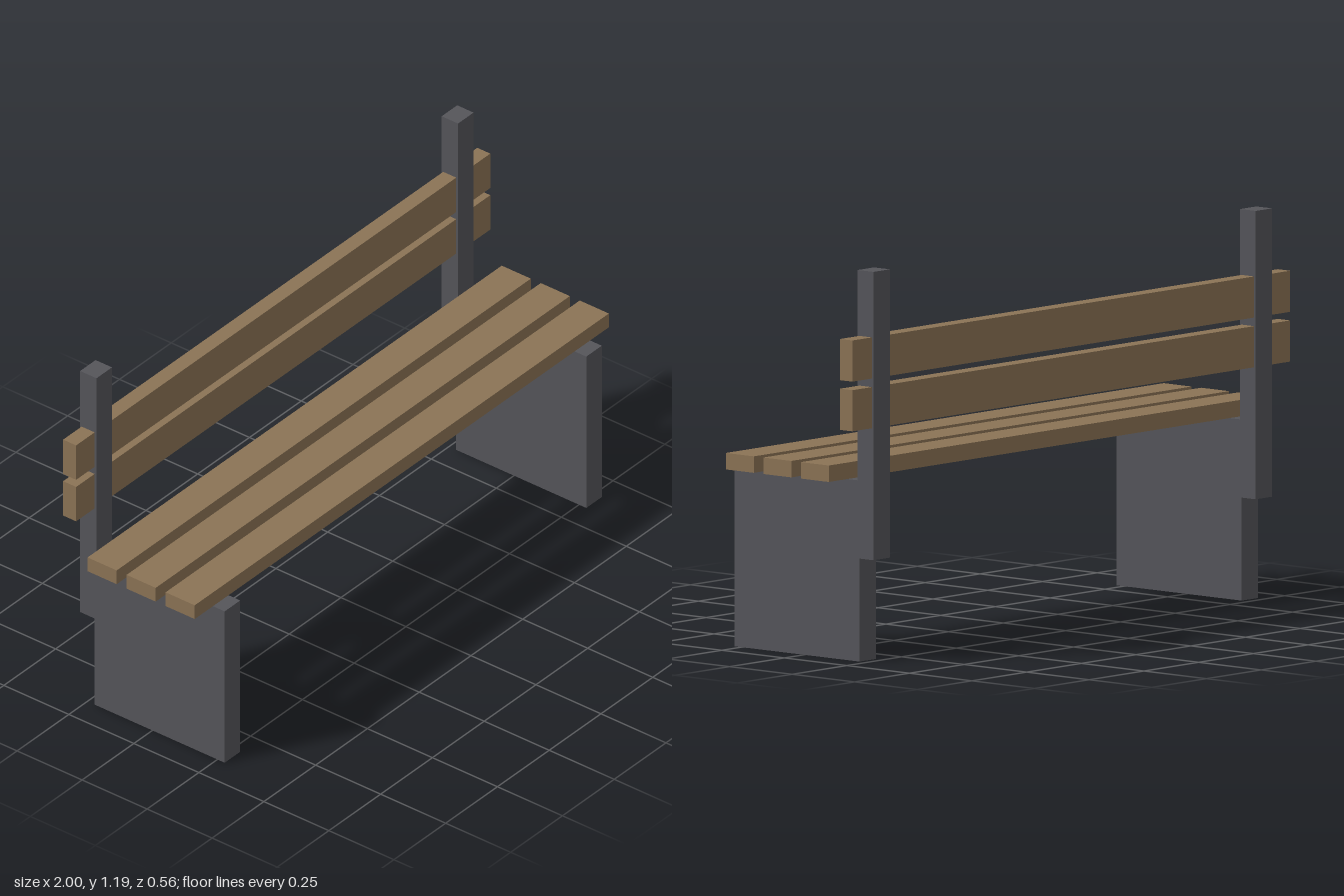
import * as THREE from 'three';

export function createModel() {
  const bench = new THREE.Group();
  bench.name = 'bench';
  const wood = new THREE.MeshStandardMaterial({ color: 0x8b7355 });
  const metal = new THREE.MeshStandardMaterial({ color: 0x55555a });

  // Box given by its size and centre
  function addBox(name, material, [w, h, d], [x, y, z]) {
    const mesh = new THREE.Mesh(new THREE.BoxGeometry(w, h, d), material);
    mesh.name = name;
    mesh.position.set(x, y, z);
    bench.add(mesh);
  }

  // Side supports: a solid leg panel with a back post behind it
  for (const [side, sign] of [['left', 1], ['right', -1]]) {
    addBox(`${side}LegPanel`, metal, [0.075, 0.55, 0.5], [sign * 0.873, 0.275, 0.028]);
    addBox(`${side}BackPost`, metal, [0.075, 0.876, 0.063], [sign * 0.873, 0.751, -0.2465]);
  }

  // Seat slats, front to back
  for (let i = 0; i < 3; i++) {
    addBox(`seatSlat${i + 1}`, wood, [2, 0.05, 0.112], [0, 0.576, 0.178 - i * 0.15]);
  }

  // Backrest boards, running through the posts
  for (let i = 0; i < 2; i++) {
    addBox(`backBoard${i + 1}`, wood, [2, 0.125, 0.05], [0, 0.776 + i * 0.151, -0.247]);
  }

  return bench;
}
